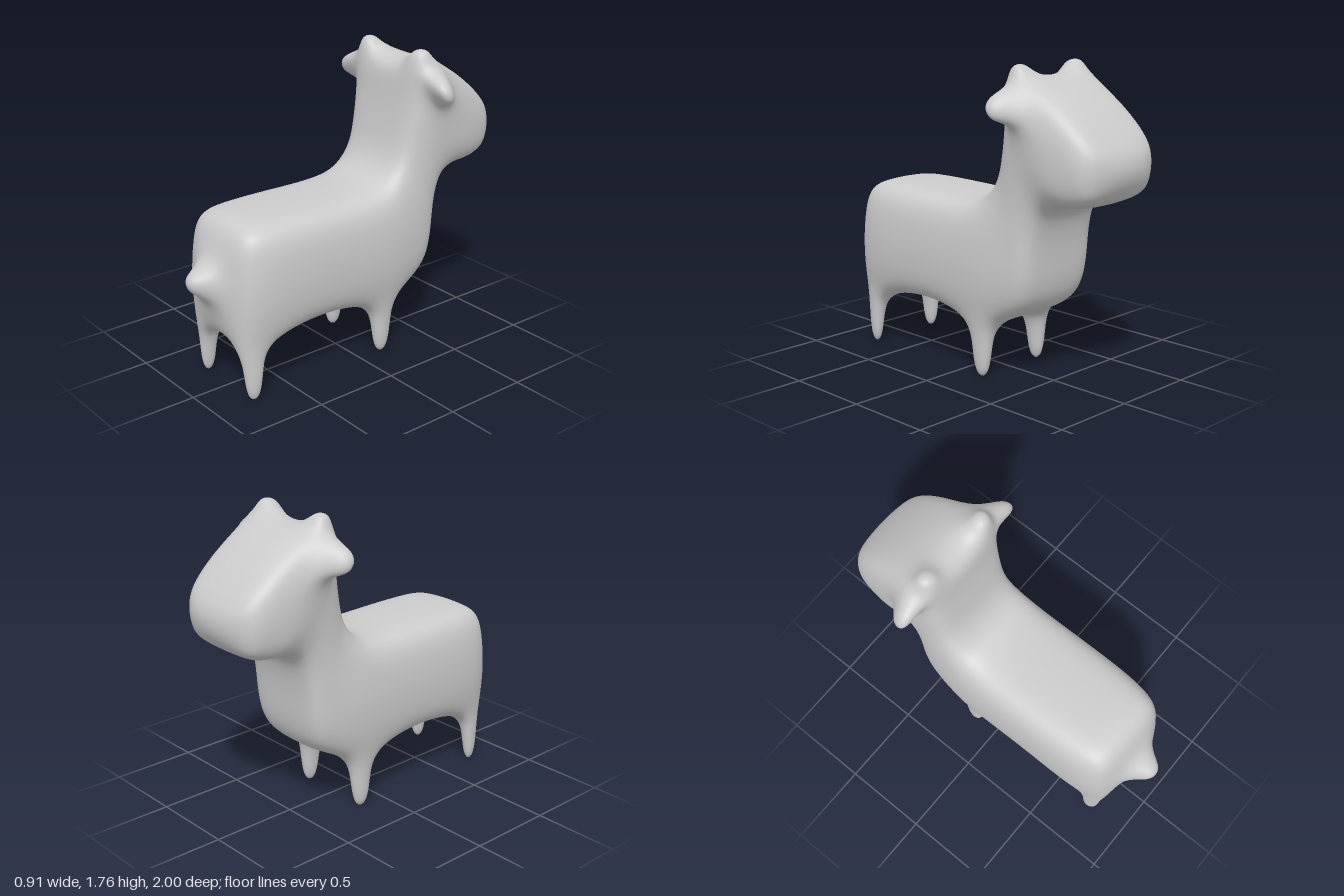
import * as THREE from 'three';

// Cross-sections from rump to nose: [topZ, topY, bottomZ, bottomY, halfWidth]
const SECTIONS = [
  [0.80, 1.00, 0.84, 0.31, 0.29],
  [0.60, 1.01, 0.64, 0.31, 0.335],
  [0.28, 1.005, 0.29, 0.36, 0.335],
  [0.00, 1.00, -0.04, 0.31, 0.335],
  [-0.19, 1.03, -0.27, 0.33, 0.33],
  [-0.28, 1.17, -0.53, 0.42, 0.30],
  [-0.31, 1.32, -0.54, 0.74, 0.29],
  [-0.34, 1.50, -0.58, 0.98, 0.30],
  [-0.345, 1.66, -0.70, 1.03, 0.32],
  [-0.50, 1.72, -0.77, 1.03, 0.33],
  [-0.74, 1.585, -0.85, 1.04, 0.31],
  [-0.96, 1.38, -0.94, 1.09, 0.28],
];
const INNER_X = 0.12;

// Outline of a section as (column, row) on a 4 x 4 grid, counter-clockwise from +z
const RING = [[0, 0], [1, 0], [2, 0], [3, 0], [3, 1], [3, 2], [3, 3], [2, 3], [1, 3], [0, 3], [0, 2], [0, 1]];

function buildCage() {
  const verts = [], faces = [], ids = new Map();

  const vertex = (s, c, r) => {
    const key = `${s},${c},${r}`;
    if (ids.has(key)) return ids.get(key);
    const [tz, ty, bz, by, w] = SECTIONS[s];
    const outer = c === 0 || c === 3;
    const edge = r === 0 || r === 3;
    let t = r / 3;
    if (outer && edge) t += r === 0 ? 0.04 : -0.04; // soften the corners
    const x = (outer ? w - (edge ? 0.04 : 0) : INNER_X) * (c < 2 ? -1 : 1);
    // Middle points of the end caps bulge outwards
    const bulge = outer || edge ? 0 : s === 0 ? 0.045 : -0.055;
    verts.push(new THREE.Vector3(x, by + (ty - by) * t, bz + (tz - bz) * t + bulge));
    ids.set(key, verts.length - 1);
    return verts.length - 1;
  };

  // Skin between the sections
  const last = SECTIONS.length - 1;
  for (let s = 0; s < last; s++) {
    RING.forEach((a, k) => {
      const b = RING[(k + 1) % RING.length];
      faces.push([vertex(s, ...a), vertex(s + 1, ...a), vertex(s + 1, ...b), vertex(s, ...b)]);
    });
  }
  // Rump and nose caps
  let tailFace = 0;
  for (let c = 0; c < 3; c++) {
    for (let r = 0; r < 3; r++) {
      const corners = [[c, r], [c + 1, r], [c + 1, r + 1], [c, r + 1]];
      if (c === 1 && r === 1) tailFace = faces.length;
      faces.push(corners.map((p) => vertex(0, ...p)));
      faces.push(corners.map((p) => vertex(last, ...p)).reverse());
    }
  }

  // Pulls a face out to a centre, shrunk by scale and flattened across one axis
  const extrude = (index, centre, scale, axis) => {
    const base = faces[index];
    const mid = new THREE.Vector3();
    base.forEach((i) => mid.addScaledVector(verts[i], 0.25));
    const tip = base.map((i) => {
      const offset = verts[i].clone().sub(mid).multiplyScalar(scale);
      offset[axis] = 0;
      return verts.push(offset.add(centre)) - 1;
    });
    base.forEach((v, i) => {
      const j = (i + 1) % 4;
      faces.push([v, base[j], tip[j], tip[i]]);
    });
    faces[index] = tip;
  };
  const point = (x, y, z) => new THREE.Vector3(x, y, z);
  const skin = (s, k) => s * RING.length + k;

  for (const side of [1, -1]) {
    const pick = (left, right) => (side > 0 ? left : right);
    // Legs
    for (const [s, z] of [[0, 0.75], [3, -0.16]]) {
      const face = skin(s, pick(2, 0));
      extrude(face, point(side * 0.222, 0.21, z), 0.56, 'y');
      extrude(face, point(side * 0.222, -0.019, z), 0.78, 'y');
    }
    // Horns and ears
    extrude(skin(8, pick(6, 8)), point(side * 0.222, 1.768, -0.425), 0.6, 'y');
    extrude(skin(8, pick(5, 9)), point(side * 0.468, 1.54, -0.43), 0.65, 'x');
  }
  // Tail
  extrude(tailFace, point(0, 0.68, 1.013), 0.45, 'z');
  return { verts, faces };
}

// One Catmull-Clark step on a closed quad mesh
function subdivide({ verts, faces }) {
  const out = verts.map(() => new THREE.Vector3());
  const valence = verts.map(() => 0);
  const facePts = verts.map(() => new THREE.Vector3());
  const edgeMids = verts.map(() => new THREE.Vector3());
  const edges = new Map();
  const quads = [];

  const centres = faces.map((f) => {
    const p = new THREE.Vector3();
    f.forEach((i) => p.addScaledVector(verts[i], 0.25));
    f.forEach((i) => { facePts[i].add(p); valence[i]++; });
    return out.push(p) - 1;
  });
  const edgeId = (a, b) => {
    const key = Math.min(a, b) * 1e6 + Math.max(a, b);
    if (!edges.has(key)) {
      const sum = verts[a].clone().add(verts[b]);
      edgeMids[a].addScaledVector(sum, 0.5);
      edgeMids[b].addScaledVector(sum, 0.5);
      edges.set(key, out.push(sum.multiplyScalar(0.25)) - 1);
    }
    return edges.get(key);
  };
  faces.forEach((f, n) => {
    const e = f.map((v, i) => edgeId(v, f[(i + 1) % 4]));
    e.forEach((id) => out[id].addScaledVector(out[centres[n]], 0.25));
    f.forEach((v, i) => quads.push([v, e[i], centres[n], e[(i + 3) % 4]]));
  });
  verts.forEach((v, i) => {
    const n = valence[i];
    out[i].addScaledVector(facePts[i], 1 / (n * n))
      .addScaledVector(edgeMids[i], 2 / (n * n))
      .addScaledVector(v, (n - 3) / n);
  });
  return { verts: out, faces: quads };
}

export function createModel() {
  let mesh = buildCage();
  for (let i = 0; i < 3; i++) mesh = subdivide(mesh);

  const geometry = new THREE.BufferGeometry().setFromPoints(mesh.verts);
  geometry.setIndex(mesh.faces.flatMap(([a, b, c, d]) => [a, b, c, a, c, d]));
  geometry.computeVertexNormals();

  const body = new THREE.Mesh(geometry, new THREE.MeshStandardMaterial({ color: 0xcccccc }));
  body.name = 'animalBody';
  const group = new THREE.Group();
  group.name = 'hornedAnimal';
  group.add(body);
  return group;
}
